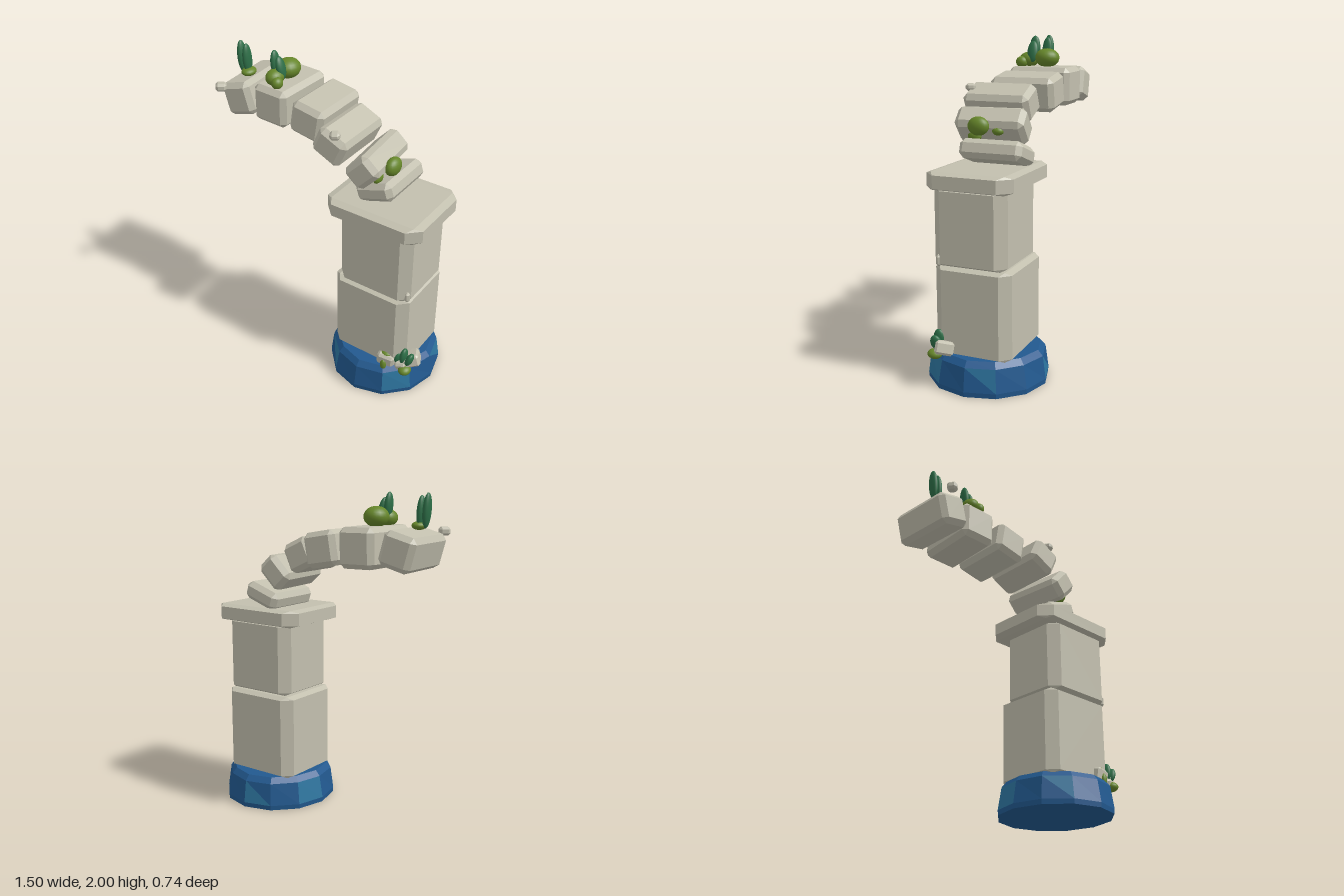
import * as THREE from 'three';
import { ConvexGeometry } from 'three/addons/geometries/ConvexGeometry.js';

const material = (name, color) => {
  const m = new THREE.MeshStandardMaterial({ color });
  m.name = name;
  return m;
};

// Box with bevelled edges: cv cuts the vertical edges, ch the horizontal ones
function bevelBox(w, h, d, cv, ch = cv) {
  const x = w / 2, y = h / 2, z = d / 2, pts = [];
  for (const sx of [-1, 1]) for (const sy of [-1, 1]) for (const sz of [-1, 1]) {
    pts.push(
      new THREE.Vector3(sx * x, sy * (y - ch), sz * (z - cv)),
      new THREE.Vector3(sx * (x - cv), sy * (y - ch), sz * z),
      new THREE.Vector3(sx * (x - Math.max(ch, cv * 0.6)), sy * y, sz * (z - Math.max(ch, cv * 0.6))));
  }
  return new ConvexGeometry(pts);
}

export function createModel() {
  const root = new THREE.Group();
  root.name = 'ruinedArch';
  const stone = material('pale stone', 0xc2bfae);
  const blue = material('deep blue', 0x22598f);
  const lightBlue = material('light blue', 0x2d759f);
  const olive = material('olive moss', 0x66862a);
  const green = material('dark green leaf', 0x2d6e47);

  const add = (name, geometry, mat, pos, rot = [0, 0, 0]) => {
    const mesh = new THREE.Mesh(geometry, mat);
    mesh.name = name;
    mesh.position.set(...pos);
    mesh.rotation.set(rot[0], rot[1], rot[2], 'YZX');
    root.add(mesh);
    return mesh;
  };

  // Faceted base, twelve-sided, with a few lighter facets
  const sides = 12;
  const profile = [[0, 0], [0.365, 0], [0.368, 0.03], [0.345, 0.17], [0.315, 0.205], [0, 0.2]]
    .map(([r, y]) => new THREE.Vector2(r, y));
  const base = new THREE.LatheGeometry(profile, sides).toNonIndexed();
  const p = base.attributes.position;
  for (let i = 0; i < p.count; i++) {
    const a = Math.round(Math.atan2(p.getX(i), p.getZ(i)) / (Math.PI / 6));
    const k = 1 + 0.012 * Math.sin(a * 2.3) * (p.getY(i) > 0.1 ? 1 : 0);
    p.setX(i, p.getX(i) * 0.96 * k);
    p.setZ(i, p.getZ(i) * k);
  }
  base.computeVertexNormals();
  base.clearGroups();
  for (let t = 0; t < p.count / 3; t++) {
    let y = 0, r = 0;
    for (let k = 0; k < 3; k++) {
      y += p.getY(t * 3 + k) / 3;
      r += Math.hypot(p.getX(t * 3 + k), p.getZ(t * 3 + k)) / 3;
    }
    const isWall = y > 0.04 && y < 0.16 && r > 0.3;
    base.addGroup(t * 3, 3, isWall && t % 7 < 2 ? 1 : 0);
  }
  add('base', base, [blue, lightBlue], [0.393, 0, 0]);

  // Pillar and its cap slab
  add('lowerPillar', bevelBox(0.525, 0.535, 0.48, 0.06, 0.018), stone, [0.393, 0.462, 0]);
  add('upperPillar', bevelBox(0.495, 0.46, 0.455, 0.06, 0.018), stone, [0.412, 0.96, 0.012]);
  add('cap', bevelBox(0.645, 0.105, 0.535, 0.075, 0.014), stone, [0.393, 1.232, -0.002]);

  // Arch stones: x, y, z, width, height, depth, yaw, roll
  [
    [-0.62, 1.685, -0.033, 0.205, 0.205, 0.43, 0.07, 0.27],
    [-0.378, 1.692, -0.05, 0.24, 0.235, 0.415, -0.03, -0.02],
    [-0.113, 1.672, -0.04, 0.225, 0.21, 0.41, 0, -0.17],
    [0.106, 1.62, 0.04, 0.2, 0.185, 0.42, 0, -0.43],
    [0.29, 1.505, 0.01, 0.155, 0.2, 0.42, 0.09, -0.76],
    [0.352, 1.358, -0.04, 0.25, 0.115, 0.39, 0, 0.33],
  ].forEach(([x, y, z, w, h, d, yaw, roll], i) =>
    add('archStone' + (i + 1), bevelBox(w, h, d, 0.03), stone, [x, y, z], [0, yaw, roll]));

  // Loose chips: position, size, rotation
  [
    [[-0.675, 1.775, 0.23], [0.065, 0.05, 0.06], [0, 0.7, 0]],
    [[0.145, 1.708, 0.225], [0.06, 0.045, 0.06], [0, 0.5, 0.05]],
    [[0.643, 0.765, 0.195], [0.035, 0.07, 0.035], [0, 0.1, 0]],
    [[0.54, 0.245, 0.22], [0.11, 0.085, 0.1], [0.1, 0.2, -0.1]],
    [[0.675, 0.25, 0.155], [0.115, 0.08, 0.11], [-0.2, 0.5, 0.3]],
    [[0.635, 0.22, 0.205], [0.075, 0.06, 0.07], [0.2, 0.3, 0.2]],
  ].forEach(([pos, s, rot], i) =>
    add('stoneChip' + (i + 1), bevelBox(...s, 0.014), stone, pos, rot));

  const ball = new THREE.SphereGeometry(1, 20, 14);
  // Moss clumps: position, radii
  [
    [[-0.62, 1.815, 0.035], [0.042, 0.025, 0.052]],
    [[-0.392, 1.862, -0.06], [0.072, 0.06, 0.08]],
    [[-0.395, 1.85, 0.065], [0.052, 0.048, 0.065]],
    [[-0.352, 1.835, 0.1], [0.033, 0.036, 0.038]],
    [[0.42, 1.515, 0.045], [0.042, 0.055, 0.065]],
    [[0.355, 1.445, 0.1], [0.026, 0.035, 0.042]],
    [[0.37, 1.485, -0.055], [0.03, 0.025, 0.035]],
    [[0.54, 0.28, 0.22], [0.04, 0.02, 0.04]],
    [[0.542, 0.212, 0.27], [0.02, 0.04, 0.018]],
    [[0.67, 0.2, 0.22], [0.04, 0.03, 0.045]],
  ].forEach(([pos, r], i) => add('moss' + (i + 1), ball, olive, pos).scale.set(...r));

  // Upright leaves: position, half height, roll
  [
    [[-0.668, 1.9, 0.033], 0.1, 0.08],
    [[-0.632, 1.89, 0.03], 0.095, 0.06],
    [[-0.415, 1.92, 0.033], 0.08, 0.08],
    [[-0.375, 1.9, 0.033], 0.07, 0.25],
    [[0.607, 0.265, 0.2], 0.05, -0.25],
    [[0.648, 0.29, 0.2], 0.06, -0.1],
    [[0.69, 0.28, 0.2], 0.05, -0.3],
  ].forEach(([pos, h, roll], i) =>
    add('leaf' + (i + 1), ball, green, pos, [0, 0, roll]).scale.set(0.022, h, 0.036));

  return root;
}
